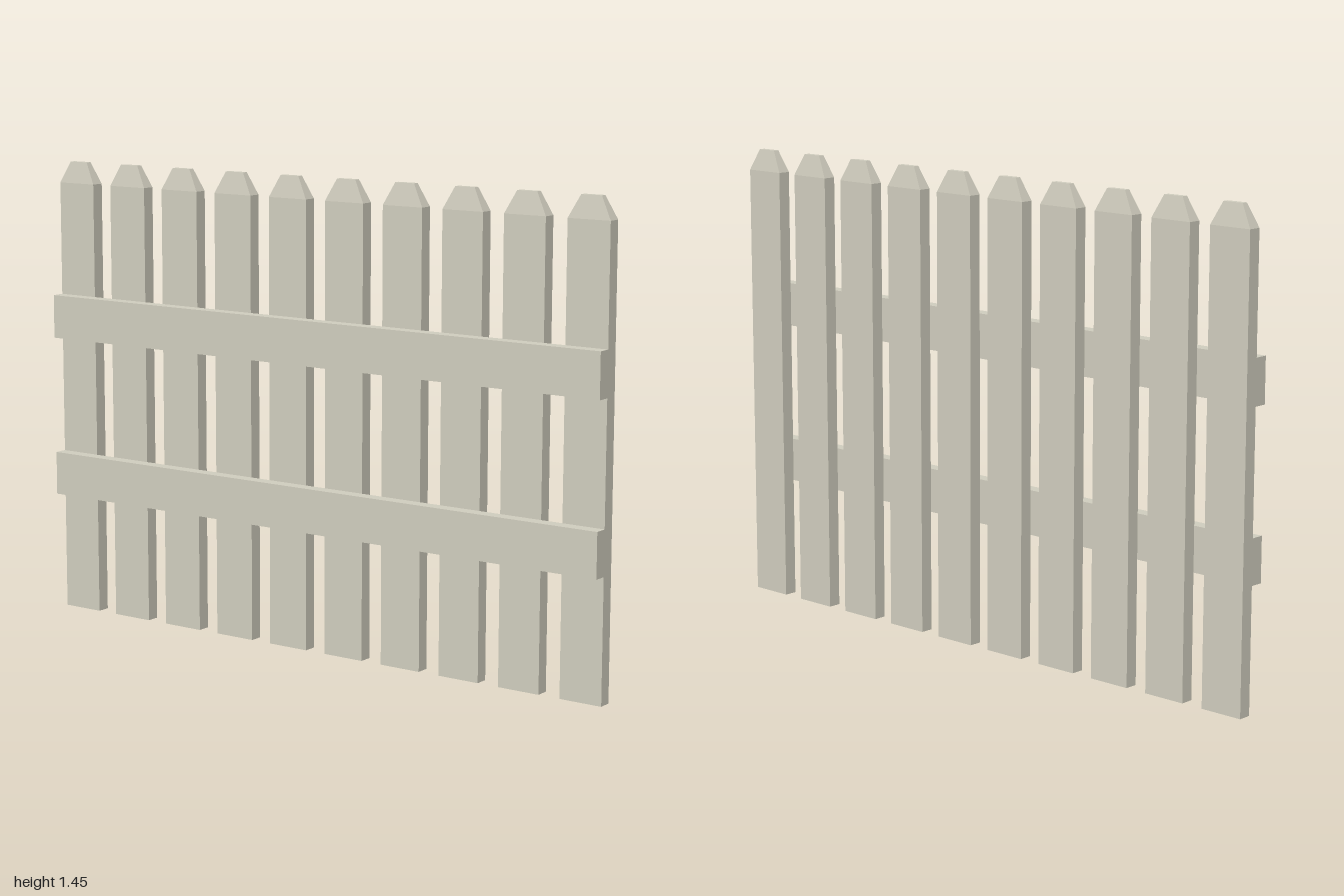
import * as THREE from 'three';

const PICKETS = 10, WIDTH = 0.137, THICK = 0.041;
const HEIGHT = 1.447, SHOULDER = 1.38;

// Board standing on y = 0 whose top tapers on all four sides to a small flat tip
function picketGeometry() {
  const box = new THREE.BoxGeometry(THICK, 2, WIDTH, 1, 2, 1);
  const p = box.attributes.position;
  for (let i = 0; i < p.count; i++) {
    const level = Math.round(p.getY(i)) + 1;
    p.setY(i, [0, SHOULDER, HEIGHT][level]);
    if (level === 2) {
      p.setX(i, p.getX(i) * 0.45);
      p.setZ(i, p.getZ(i) * 0.48);
    }
  }
  const flat = box.toNonIndexed();
  flat.computeVertexNormals();
  return flat;
}

export function createModel() {
  const fence = new THREE.Group();
  fence.name = 'picketFence';

  const wood = new THREE.MeshStandardMaterial({ color: 0xd0cdbe });
  wood.name = 'paleWood';

  // Row of pickets on the +x side
  const picketGeo = picketGeometry();
  const span = 2 - WIDTH;
  for (let i = 0; i < PICKETS; i++) {
    const picket = new THREE.Mesh(picketGeo, wood);
    picket.name = `picket${i + 1}`;
    picket.position.set(THICK / 2, 0, span / 2 - (i * span) / (PICKETS - 1));
    fence.add(picket);
  }

  // Two full-length rails behind the pickets
  const railGeo = new THREE.BoxGeometry(THICK, 0.137, 2);
  for (const [name, y] of [['lowerRail', 0.446], ['upperRail', 0.955]]) {
    const rail = new THREE.Mesh(railGeo, wood);
    rail.name = name;
    rail.position.set(-THICK / 2, y, 0);
    fence.add(rail);
  }

  return fence;
}
